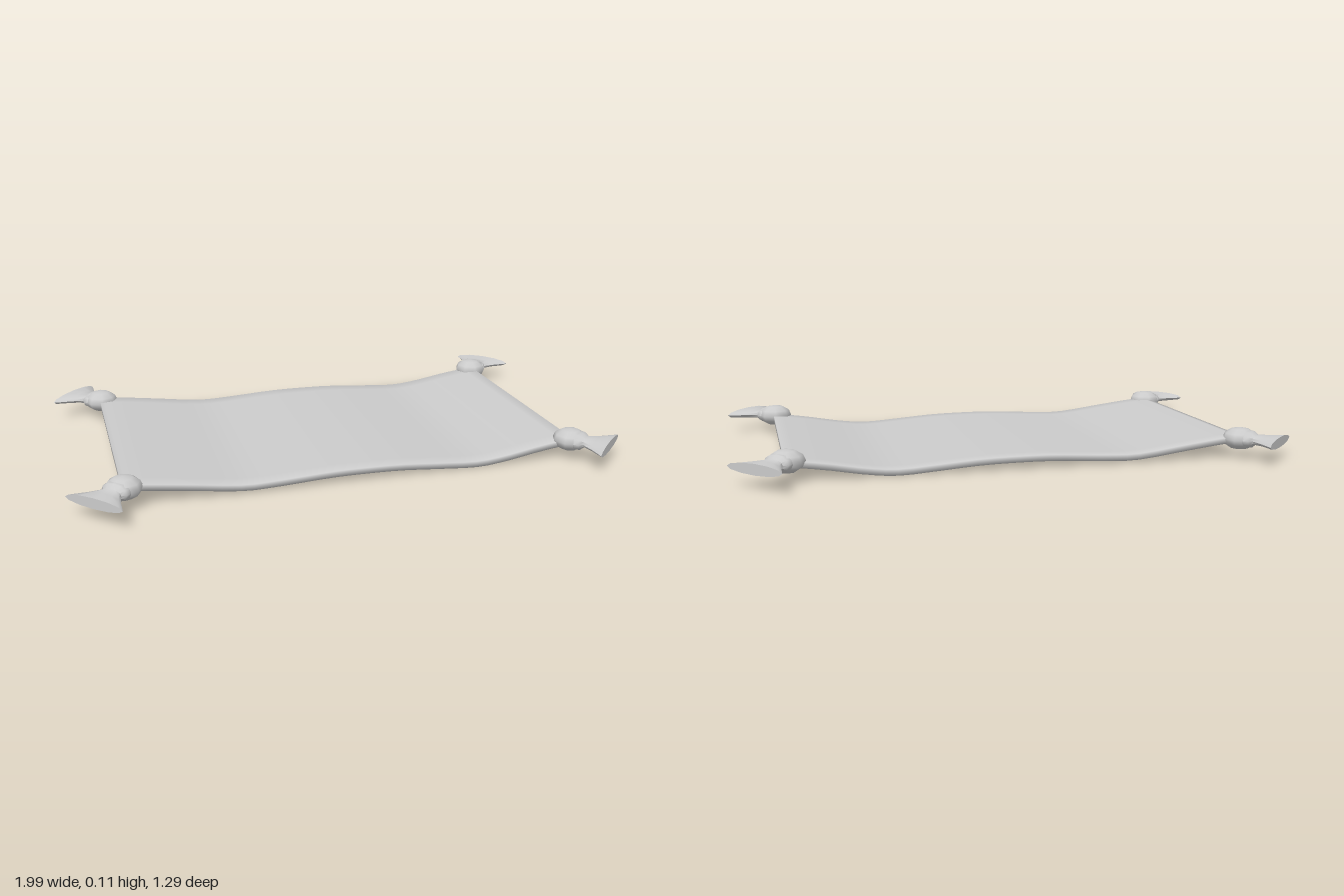
import * as THREE from 'three';
import { mergeVertices, toCreasedNormals } from 'three/addons/utils/BufferGeometryUtils.js';

const material = new THREE.MeshStandardMaterial({ color: 0xcccccc });
const HALF_X = 0.815, HALF_Z = 0.463, THICK = 0.022;

// Centre line of the rippling cloth, as (x, y)
const wave = new THREE.SplineCurve([
  [-0.815, 0.067], [-0.75, 0.064], [-0.6, 0.046], [-0.42, 0.023], [-0.3, 0.024], [-0.12, 0.034], [0, 0.036],
  [0.15, 0.033], [0.3, 0.022], [0.44, 0.013], [0.55, 0.023], [0.68, 0.045], [0.815, 0.063],
].map(([x, y]) => new THREE.Vector2(x, y)));

// Thin slab bent along the wave, with narrow border strips that soften its rim
function clothGeometry() {
  const columns = 32, rows = 4;
  const geometry = new THREE.BoxGeometry(columns, 1, rows, columns, 1, rows);
  const zStops = [-HALF_Z, -HALF_Z + 0.06, 0, HALF_Z - 0.06, HALF_Z];
  const p = geometry.attributes.position;
  for (let i = 0; i < p.count; i++) {
    const t = (p.getX(i) + columns / 2) / columns;
    const point = wave.getPoint(t);
    const z = zStops[Math.round(p.getZ(i) + rows / 2)];
    p.setXYZ(i, point.x, point.y + p.getY(i) * THICK, z);
  }
  geometry.deleteAttribute('normal');
  geometry.deleteAttribute('uv');
  const smooth = mergeVertices(geometry);
  smooth.computeVertexNormals();
  return smooth;
}

// Collar and flared fringe along +x, flattened more and more towards the tip
function fringeGeometry() {
  // distance from the knot, half width, half height
  const rings = [[0, 0.03, 0.02], [0.03, 0.056, 0.032], [0.047, 0.053, 0.03], [0.06, 0.04, 0.018],
    [0.1, 0.072, 0.018], [0.147, 0.118, 0.019], [0.147, 0, 0]];
  const geometry = new THREE.LatheGeometry(rings.map(([d, w]) => new THREE.Vector2(w, d)), 12);
  geometry.rotateZ(-Math.PI / 2);
  const p = geometry.attributes.position;
  for (let i = 0; i < p.count; i++) {
    const [, w, h] = rings[i % rings.length];
    p.setY(i, w ? p.getY(i) * h / w : 0);
  }
  geometry.deleteAttribute('normal');
  geometry.deleteAttribute('uv');
  return toCreasedNormals(mergeVertices(geometry), Math.PI / 3);
}

export function createModel() {
  const model = new THREE.Group();
  model.name = 'carpet';
  const add = (parent, geometry, name) => {
    const mesh = new THREE.Mesh(geometry, material);
    mesh.name = name;
    parent.add(mesh);
    return mesh;
  };

  add(model, clothGeometry(), 'cloth');

  // One tassel at each corner, pointing out along the diagonal
  const knot = new THREE.SphereGeometry(0.064, 8, 6);
  const fringe = fringeGeometry();
  for (const sx of [-1, 1]) for (const sz of [-1, 1]) {
    const tassel = new THREE.Group();
    tassel.name = (sz > 0 ? 'front' : 'back') + (sx > 0 ? 'Left' : 'Right') + 'Tassel';
    tassel.position.set(sx * 0.808, 0.07, sz * 0.456);
    tassel.rotation.y = Math.atan2(-sz, sx);
    add(tassel, knot, 'knot').scale.y = 0.63;
    add(tassel, fringe, 'fringe');
    model.add(tassel);
  }
  return model;
}
